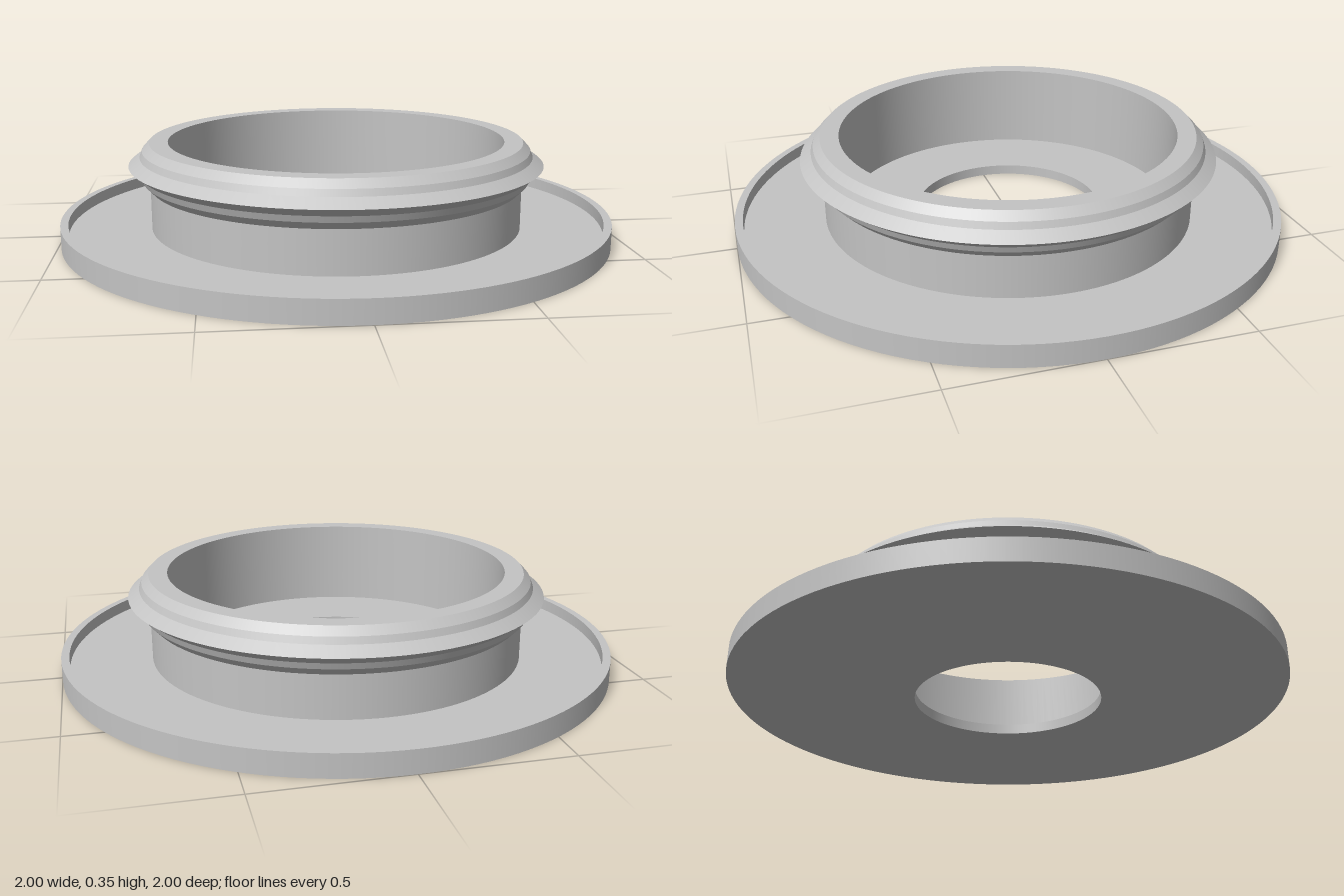
import * as THREE from 'three';
import { mergeGeometries } from 'three/addons/utils/BufferGeometryUtils.js';

const SEGMENTS = 128;

// Revolve each profile edge separately: smooth around the axis, sharp between edges.
// Profiles run counter-clockwise in (radius, height) so faces point outward.
function turned(name, profile, material) {
  const bands = [];
  for (let i = 0; i < profile.length - 1; i++) {
    const ends = [profile[i], profile[i + 1]].map(([r, y]) => new THREE.Vector2(r, y));
    bands.push(new THREE.LatheGeometry(ends, SEGMENTS));
  }
  const mesh = new THREE.Mesh(mergeGeometries(bands), material);
  mesh.name = name;
  return mesh;
}

export function createModel() {
  const grey = new THREE.MeshStandardMaterial({ color: 0xc4c4c4 });
  grey.name = 'light grey';

  const floor = 0.037, rimTop = 0.08, top = 0.35;
  const hole = 0.34, bore = 0.613, neck = 0.68;

  const model = new THREE.Group();
  model.name = 'flangedCollar';

  // Base disc with a thin raised rim, up to the foot of the neck
  model.add(turned('basePlate', [
    [hole, 0], [1, 0], [1, rimTop], [0.972, rimTop], [0.972, floor], [neck, floor],
  ], grey));

  // Neck wall and the stepped, pointed lip around its top
  model.add(turned('neckAndLip', [
    [neck, floor], [neck, 0.19],
    [0.706, 0.217], [0.715, 0.24], [0.755, 0.27],
    [0.715, 0.3], [0.706, 0.323], [neck, top],
    [bore, top], [bore, floor],
  ], grey));

  // Floor inside the neck and the wall of the central hole
  model.add(turned('innerFloor', [
    [bore, floor], [hole, floor], [hole, 0],
  ], grey));

  return model;
}
